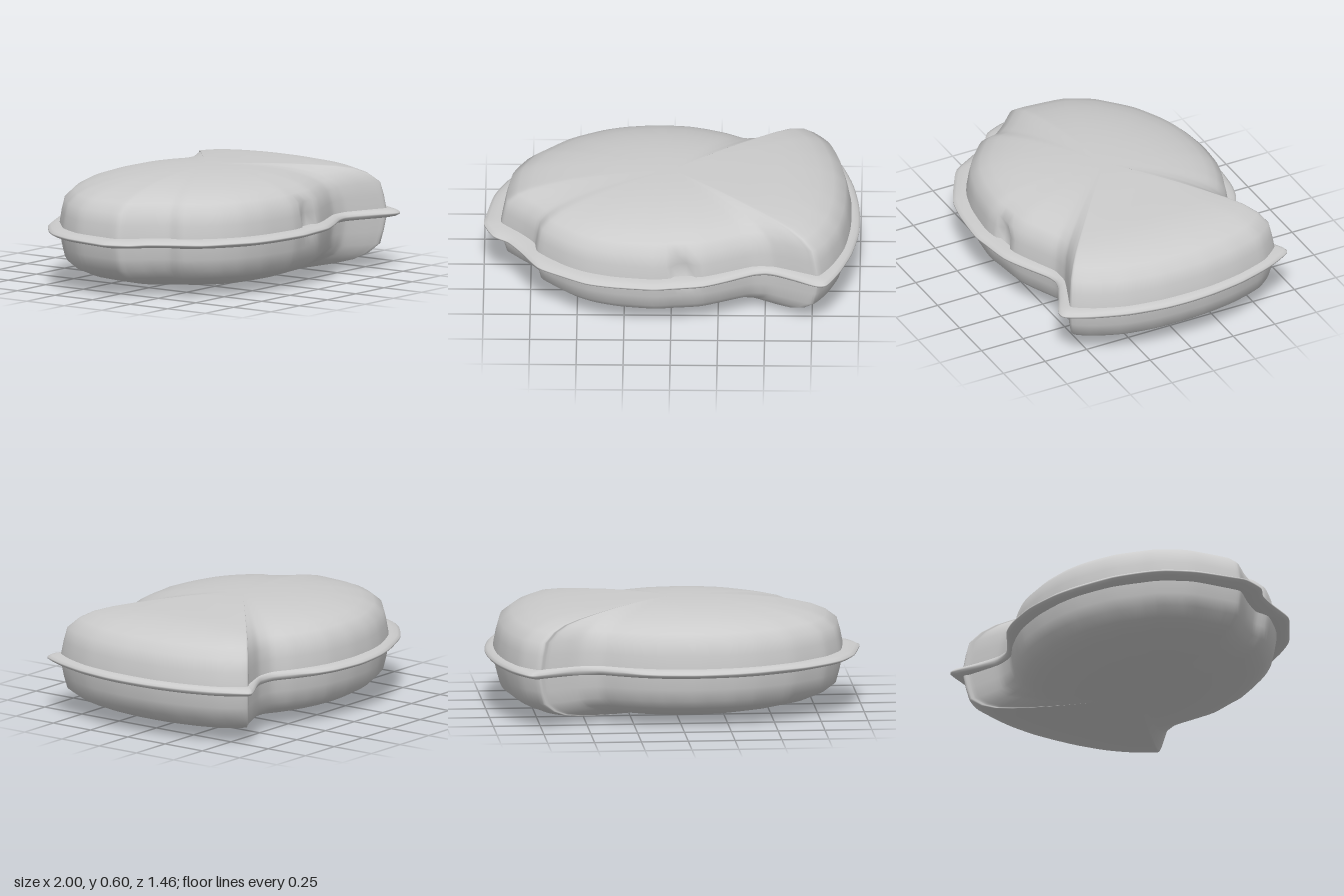
import * as THREE from 'three';

const MID = 0.305; // height of the seam

// Outlines as x, z pairs, matched point for point
const BODY = [
  -.91, .09, -.905, 0, -.88, -.19, -.8, -.34, -.73, -.41, -.6, -.52, -.42, -.61, -.28, -.65, -.1, -.67, .08, -.66,
  .2, -.63, .32, -.585, .43, -.53, .54, -.53, .64, -.565, .73, -.6, .77, -.62, .86, -.51, .92, -.33, .95, -.15,
  .955, 0, .95, .15, .92, .34, .86, .5, .79, .61, .74, .6, .63, .555, .55, .525, .5, .52, .43, .525,
  .3, .58, .17, .63, 0, .65, -.1, .66, -.3, .635, -.45, .59, -.57, .52, -.71, .39, -.73, .3, -.8, .21, -.88, .13,
];
const RIM = [
  -1, .08, -.99, 0, -.95, -.2, -.88, -.35, -.8, -.44, -.66, -.55, -.45, -.65, -.3, -.7, -.1, -.73, .1, -.715,
  .22, -.68, .33, -.61, .44, -.55, .54, -.545, .64, -.59, .76, -.66, .82, -.67, .9, -.52, .96, -.33, .99, -.15,
  1, 0, .995, .15, .96, .35, .9, .53, .83, .67, .77, .68, .66, .62, .56, .57, .5, .555, .43, .57,
  .3, .635, .17, .69, 0, .715, -.1, .725, -.3, .705, -.45, .67, -.6, .585, -.71, .51, -.8, .36, -.87, .26, -.95, .2,
];

// Closed smooth outline with four samples per control point
function outline(flat) {
  const pts = [];
  for (let i = 0; i < flat.length; i += 2) pts.push(new THREE.Vector3(flat[i], 0, flat[i + 1]));
  const curve = new THREE.CatmullRomCurve3(pts, true, 'catmullrom', 0.35);
  return Array.from({ length: pts.length * 4 }, (_, i) => curve.getPoint(i / (pts.length * 4)));
}

// Skin over rings running from the top downwards
function loft(rings) {
  const n = rings[0].length, pos = [], index = [];
  for (const ring of rings) for (const p of ring) pos.push(p.x, p.y, p.z);
  for (let r = 0; r < rings.length - 1; r++) {
    for (let j = 0; j < n; j++) {
      const k = (j + 1) % n;
      const a = r * n + j, b = r * n + k, c = a + n, d = b + n;
      index.push(a, b, c, b, d, c);
    }
  }
  const g = new THREE.BufferGeometry();
  g.setAttribute('position', new THREE.Float32BufferAttribute(pos, 3));
  g.setIndex(index);
  g.computeVertexNormals();
  return g;
}

// Top half of a section followed by its mirror image
const mirrored = (half) => [...half, ...half.slice().reverse().map(([s, h]) => [s, -h])];

export function createModel() {
  const group = new THREE.Group();
  const material = new THREE.MeshStandardMaterial({ color: 0xcccccc, side: THREE.DoubleSide });
  const inner = outline(BODY), outer = outline(RIM);

  // Puffed body: outline scale against height from the seam
  const section = mirrored([
    [0, .3], [.15, .3], [.3, .296], [.45, .287], [.6, .272], [.72, .252], [.82, .23],
    [.9, .2], [.965, .155], [.985, .09], [1, .02],
  ]);
  const bodyRings = section.map(([s, h]) => inner.map((p) => {
    const x = p.x * s;
    let z = p.z * s;
    // fuller tail
    const tail = 1 + 0.07 * THREE.MathUtils.smoothstep(x, 0.4, 0.7);
    // small pinch in the front wall, just above the seam
    if (z > 0.5 && h > 0 && h < 0.12) z -= 0.05 * Math.exp(-(((x - 0.06) / 0.035) ** 2));
    return new THREE.Vector3(x, MID + h * tail, z);
  }));
  const body = new THREE.Mesh(loft(bodyRings), material);
  body.name = 'body';

  // Thin pressed rim around the seam, tapering to its edge
  const rimRings = mirrored([[-.3, .025], [.3, .023], [.75, .015], [1, .004]]).map(([t, h]) =>
    inner.map((p, i) => p.clone().lerp(outer[i], t).setY(MID + h)));
  const rim = new THREE.Mesh(loft(rimRings), material);
  rim.name = 'rim';

  group.add(body, rim);
  return group;
}
